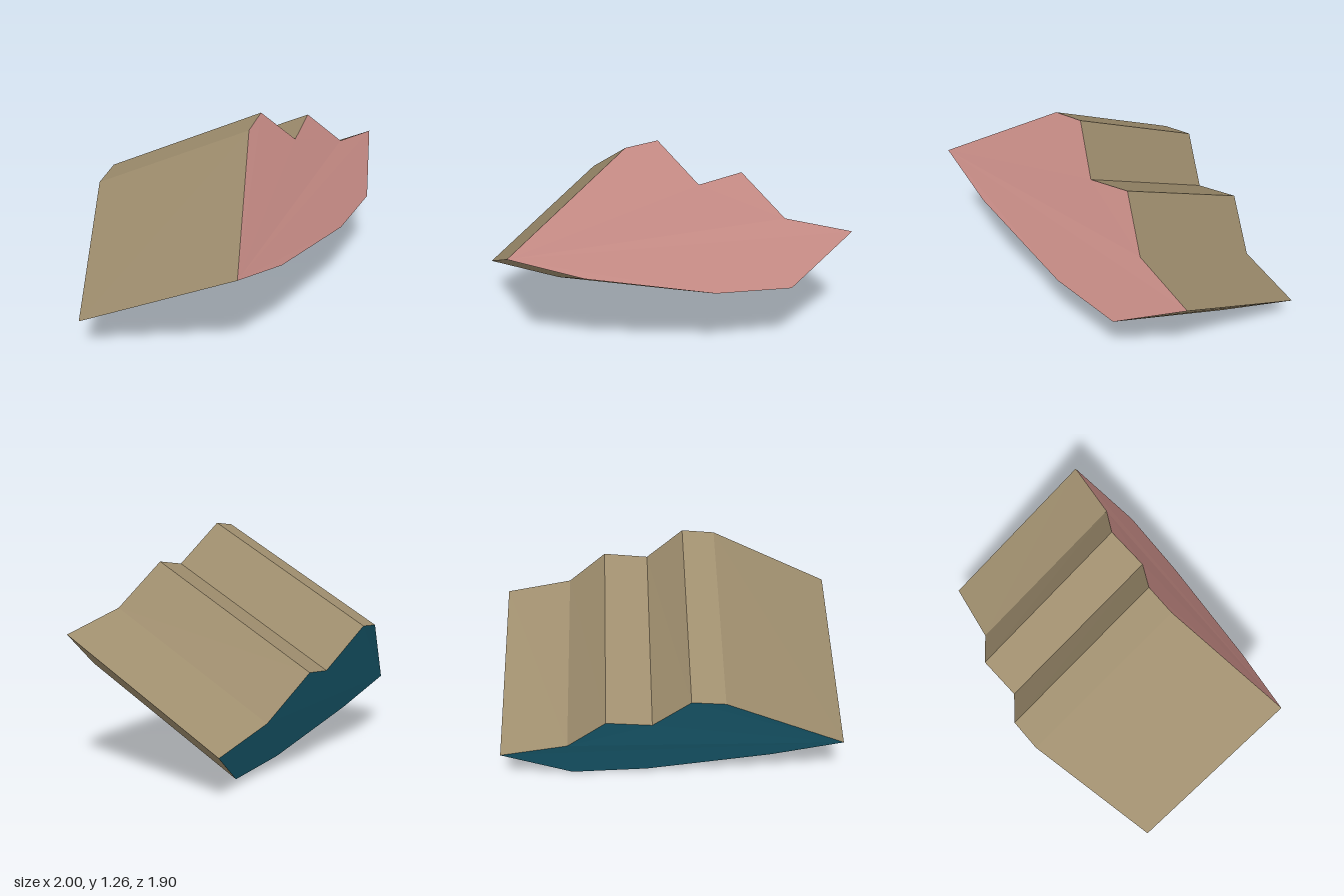
import * as THREE from 'three';

// Front outline, counter-clockwise seen from +z
const outline = [
  [-0.365, 0.81, 0.95], [-0.04, 0.685, 0.745], [0.505, 0.545, 0.34], [0.815, 0.525, 0.065],
  [1.0, 0.75, -0.285], [0.695, 0.845, -0.077], [0.455, 1.08, -0.027], [0.297, 1.045, 0.152],
  [0.075, 1.265, 0.195], [-0.045, 1.245, 0.32],
];

const material = (name, color) => {
  const m = new THREE.MeshStandardMaterial({ color });
  m.name = name;
  return m;
};

// Flat-shaded mesh from a list of triangle corners
function facets(name, corners, mat) {
  const geo = new THREE.BufferGeometry();
  geo.setAttribute('position', new THREE.Float32BufferAttribute(corners.flat(), 3));
  geo.computeVertexNormals();
  const mesh = new THREE.Mesh(geo, mat);
  mesh.name = name;
  return mesh;
}

export function createModel() {
  const group = new THREE.Group();
  group.name = 'slantedBlock';
  const tan = material('tan', 0x9f8e6e);
  const pink = material('pink', 0xc68b85);
  const teal = material('teal', 0x1c677d);

  // Rear outline: the front one swept down and back, turning very slightly
  const front = outline;
  const back = front.map(([x, y, z]) => [x - 0.629 + 0.014 * x, Math.max(0, y - 0.516), z - 0.654 - 0.016 * x]);

  // End faces
  const tris = THREE.ShapeUtils.triangulateShape(front.map(([x, y]) => new THREE.Vector2(x, y)), []);
  group.add(facets('frontFace', tris.flatMap(([a, b, c]) => [front[a], front[b], front[c]]), pink));
  group.add(facets('backFace', tris.flatMap(([a, b, c]) => [back[a], back[c], back[b]]), teal));

  // Side walls, one quad per outline edge
  const walls = front.flatMap((p, i) => {
    const j = (i + 1) % front.length;
    return [p, back[i], back[j], p, back[j], front[j]];
  });
  group.add(facets('sideWalls', walls, tan));
  return group;
}
